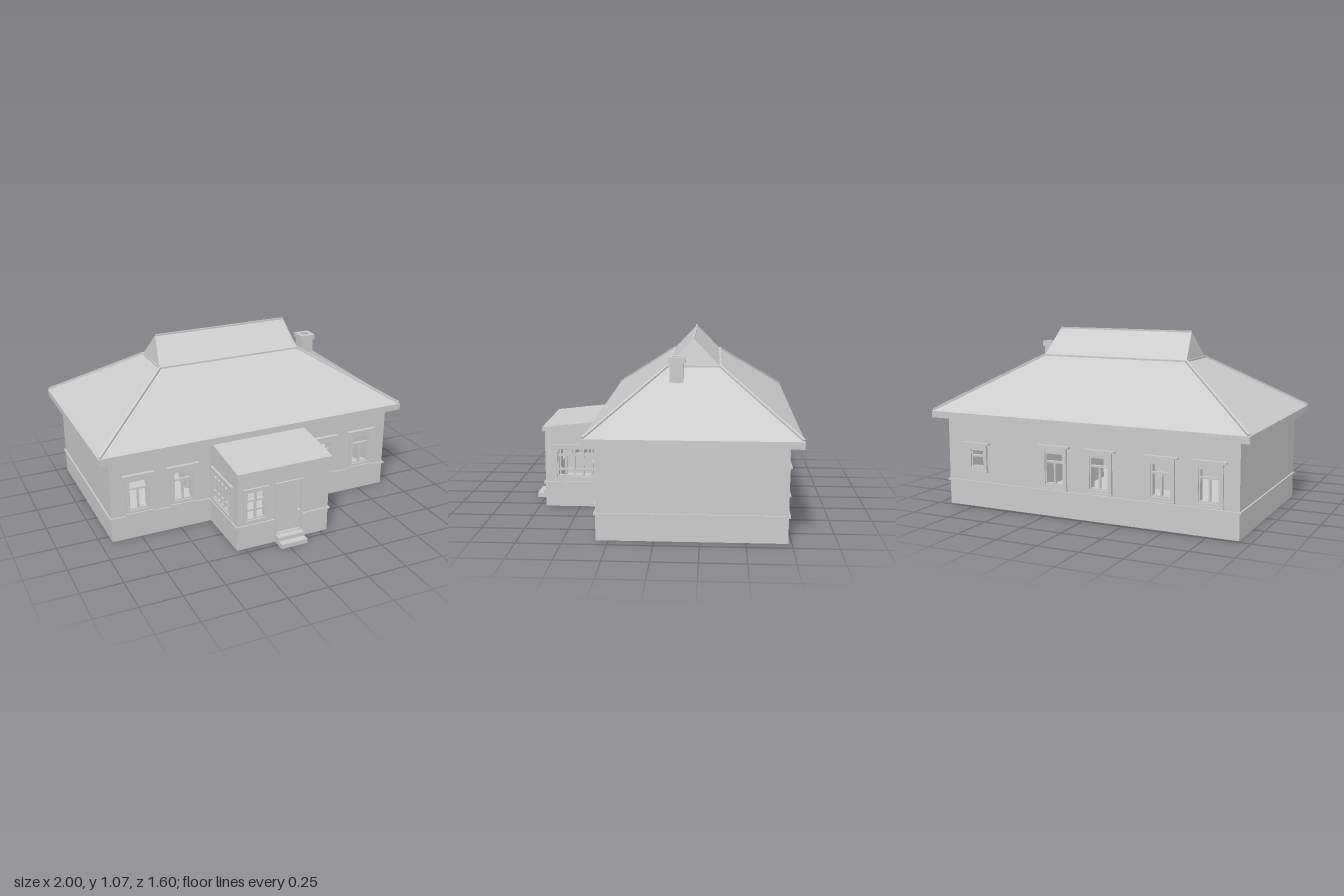
import * as THREE from 'three';

const mat = new THREE.MeshStandardMaterial({ color: 0xcccccc, flatShading: true, side: THREE.DoubleSide });

export function createModel() {
  const model = new THREE.Group();
  model.name = 'house';

  const add = (geo, name, parent = model) => {
    const m = new THREE.Mesh(geo, mat);
    m.name = name;
    parent.add(m);
    return m;
  };
  // Box given by its low and high corners
  const box = (name, x0, x1, y0, y1, z0, z1, parent) => {
    const m = add(new THREE.BoxGeometry(x1 - x0, y1 - y0, z1 - z0), name, parent);
    m.position.set((x0 + x1) / 2, (y0 + y1) / 2, (z0 + z1) / 2);
    return m;
  };
  // Flat panel from an outline, with rectangular holes [x0, x1, y0, y1]
  const panel = (name, outline, holes, depth, parent) => {
    const shape = new THREE.Shape(outline.map(p => new THREE.Vector2(...p)));
    for (const [a, b, c, d] of holes) {
      shape.holes.push(new THREE.Path([[a, c], [a, d], [b, d], [b, c]].map(p => new THREE.Vector2(...p))));
    }
    return add(new THREE.ExtrudeGeometry(shape, { depth, bevelEnabled: false }), name, parent);
  };
  const rect = (x0, x1, y0, y1) => [[x0, y0], [x1, y0], [x1, y1], [x0, y1]];

  // Window facing +z: casing, sash bars, cornice and sill, centred on x
  const makeWindow = (name, w, y0, y1, cols, rows, trim = true) => {
    const g = new THREE.Group();
    g.name = name;
    const h = w / 2, c = 0.02;
    panel('casing', rect(-h - c, h + c, y0 - c, y1 + c), [[-h, h, y0, y1]], 0.014, g);
    panel('sash', rect(-h, h, y0, y1), [[-h + 0.008, h - 0.008, y0 + 0.008, y1 - 0.008]], 0.02, g).position.z = -0.015;
    for (const x of cols) box('upright bar', x - 0.006, x + 0.006, y0, rows.top ?? y1, -0.012, 0.003, g);
    for (const y of rows.at) box('cross bar', -h, h, y - 0.006, y + 0.006, -0.012, 0.003, g);
    if (trim) {
      box('cornice', -h - 0.04, h + 0.04, y1 + 0.03, y1 + 0.042, 0, 0.024, g);
      box('header', -h - c, h + c, y1 + 0.015, y1 + 0.032, 0, 0.016, g);
      box('sill', -h - 0.025, h + 0.025, y0 - 0.026, y0 - 0.016, 0, 0.022, g);
    }
    model.add(g);
    return g;
  };

  // Main walls
  const X = 0.93, ZF = 0.32, ZB = -0.73, T = 0.05, W = 0.06, Y0 = 0.19, Y1 = 0.38;
  const frontX = [-0.76, -0.48, 0.47, 0.75];
  const backX = [-0.76, -0.48, -0.1, 0.19];
  const hole = x => [x - W, x + W, Y0, Y1];
  const small = [0.675, 0.765, 0.245, 0.355];
  panel('frontWall', rect(-X, X, 0, 0.55),
    [...frontX.map(hole), [-0.06, 0.12, 0.07, 0.4]], T).position.z = ZF - T;
  panel('backWall', rect(-X, X, 0, 0.55), [...backX.map(hole), small], T).position.z = ZB;
  for (const s of [-1, 1]) {
    const a = s > 0 ? X - T : -X;
    box('sideWall', a, a + T, 0, 0.55, ZB + T, ZF - T);
  }

  // Main windows: two casements below a transom
  for (const x of frontX) makeWindow('frontWindow', 2 * W, Y0, Y1, [0], { at: [0.325], top: 0.325 }).position.set(x, 0, ZF);
  for (const x of backX) {
    const w = makeWindow('backWindow', 2 * W, Y0, Y1, [0], { at: [0.325], top: 0.325 });
    w.position.set(x, 0, ZB);
    w.rotation.y = Math.PI;
  }
  const sw = makeWindow('smallBackWindow', 0.09, 0.245, 0.355, [], { at: [0.315] });
  sw.position.set(0.72, 0, ZB);
  sw.rotation.y = Math.PI;

  // Ledge above the plinth
  const L = 0.01, ya = 0.145, yb = 0.157;
  box('ledge', -X - L, X + L, ya, yb, ZB - L, ZB);
  box('ledge', -X - L, -0.3, ya, yb, ZF, ZF + L);
  box('ledge', 0.295, X + L, ya, yb, ZF, ZF + L);
  for (const s of [-1, 1]) box('ledge', s * (X + L / 2) - L / 2, s * (X + L / 2) + L / 2, ya, yb, ZB - L, ZF + L);

  // Floor and inner partitions with doorways
  box('floor', -X + T, X - T, 0.06, 0.075, ZB + T, ZF - T);
  box('partition', 0.45, 0.49, 0, 0.54, ZB + T, -0.16);
  for (const [a, b] of [[0.78, 0.88], [0.25, 0.6], [-0.32, 0.05]]) box('partition', a, b, 0, 0.54, -0.16, -0.12);
  for (const [a, b] of [[0.6, 0.78], [0.05, 0.25]]) box('lintel', a, b, 0.4, 0.54, -0.16, -0.12);
  for (const x of [-0.34, 0.25]) {
    box('partition', x, x + 0.04, 0, 0.54, -0.12, 0);
    box('partition', x, x + 0.04, 0, 0.54, 0.16, ZF - T);
    box('lintel', x, x + 0.04, 0.4, 0.54, 0, 0.16);
  }

  // Roof: rings of four corners [half width, front z, back z, y]
  const rings = [[1, 0.38, -0.8, 0.54], [1, 0.38, -0.8, 0.58], [0.47, -0.05, -0.355, 0.9], [0.44, -0.2, -0.2, 1.06]];
  const corners = ([x, f, b, y]) => [[-x, y, f], [x, y, f], [x, y, b], [-x, y, b]];
  const pos = [];
  const quad = (a, b, c, d) => pos.push(...a, ...b, ...c, ...a, ...c, ...d);
  for (let i = 0; i < 3; i++) {
    const lo = corners(rings[i]), hi = corners(rings[i + 1]);
    for (let k = 0; k < 4; k++) quad(lo[k], lo[(k + 1) % 4], hi[(k + 1) % 4], hi[k]);
  }
  const base = corners(rings[0]);
  quad(base[3], base[2], base[1], base[0]);
  const roofGeo = new THREE.BufferGeometry();
  roofGeo.setAttribute('position', new THREE.Float32BufferAttribute(pos, 3));
  roofGeo.computeVertexNormals();
  add(roofGeo, 'roof');

  // Capping strips along hips, break and ridge
  const strip = (name, a, b, r) => {
    const A = new THREE.Vector3(...a), B = new THREE.Vector3(...b);
    const m = add(new THREE.BoxGeometry(r, r, A.distanceTo(B)), name);
    m.position.copy(A).add(B).multiplyScalar(0.5);
    m.lookAt(B);
  };
  const eave = corners(rings[1]), brk = corners(rings[2]);
  for (let k = 0; k < 4; k++) {
    strip('hipCap', eave[k].map((v, i) => v + (brk[k][i] - v) * 0.015), brk[k], 0.016);
    strip('roofBreak', brk[k], brk[(k + 1) % 4], 0.012);
  }
  strip('ridgeCap', [-0.44, 1.06, -0.2], [0.44, 1.06, -0.2], 0.01);

  // Chimney with an open top
  box('chimneyShaft', 0.515, 0.595, 0.72, 0.94, -0.147, -0.067);
  const cap = panel('chimneyCap', rect(0.505, 0.603, 0.06, 0.158), [[0.53, 0.578, 0.085, 0.133]], 0.033);
  cap.rotation.x = -Math.PI / 2;
  cap.position.set(0, 0.935, 0);
  cap.position.z = 0.002;

  // Porch walls
  const PX0 = -0.3, PX1 = 0.295, PZ = 0.71, P = 0.035;
  panel('porchFront', rect(PX0, PX1, 0, 0.48), [[-0.245, -0.125, 0.19, 0.37], [-0.05, 0.11, 0.06, 0.38]], P).position.z = PZ - P;
  const sideHole = [0.37, 0.635, 0.19, 0.37];
  for (const x of [PX1, PX0 + P]) {
    const w = panel('porchSide', [[ZF, 0], [PZ - P, 0], [PZ - P, 0.48], [ZF, 0.525]], [sideHole], P);
    w.rotation.y = -Math.PI / 2;
    w.position.x = x;
  }
  box('porchFloor', PX0 + P, PX1 - P, 0.05, 0.065, ZF, PZ - P);
  for (const [a, b] of [[PX0 - L, -0.06], [0.12, PX1 + L]]) box('porchLedge', a, b, ya, yb, PZ, PZ + L);
  for (const x of [PX0 - L, PX1]) box('porchLedge', x, x + L, ya, yb, ZF, PZ + L);

  // Porch windows
  makeWindow('porchFrontWindow', 0.12, 0.19, 0.37, [0], { at: [0.25, 0.31] }, false).position.set(-0.185, 0, PZ);
  for (const s of [-1, 1]) {
    const w = makeWindow('porchSideWindow', 0.265, 0.19, 0.37, [-0.08, -0.027, 0.027, 0.08], { at: [0.235, 0.325] }, false);
    w.position.set(s > 0 ? PX1 : PX0, 0, 0.5025);
    w.rotation.y = s * Math.PI / 2;
  }

  // Lean-to porch roof
  const pr = panel('porchRoof', [[0.31, 0.515], [0.725, 0.472], [0.725, 0.498], [0.31, 0.545]], [], 0.61);
  pr.rotation.y = -Math.PI / 2;
  pr.position.x = 0.305;

  // Door, frame and steps
  box('door', -0.05, 0.11, 0.06, 0.38, PZ - 0.025, PZ - 0.005);
  panel('doorFrame', rect(-0.06, 0.12, 0.055, 0.39), [[-0.048, 0.108, 0.06, 0.378]], 0.012).position.z = PZ;
  box('doorHandle', 0.088, 0.102, 0.18, 0.188, PZ - 0.005, PZ + 0.015);
  box('upperStep', -0.055, 0.115, 0.028, 0.052, PZ, 0.76);
  box('lowerStep', -0.055, 0.115, 0, 0.028, PZ, 0.8);

  return model;
}
